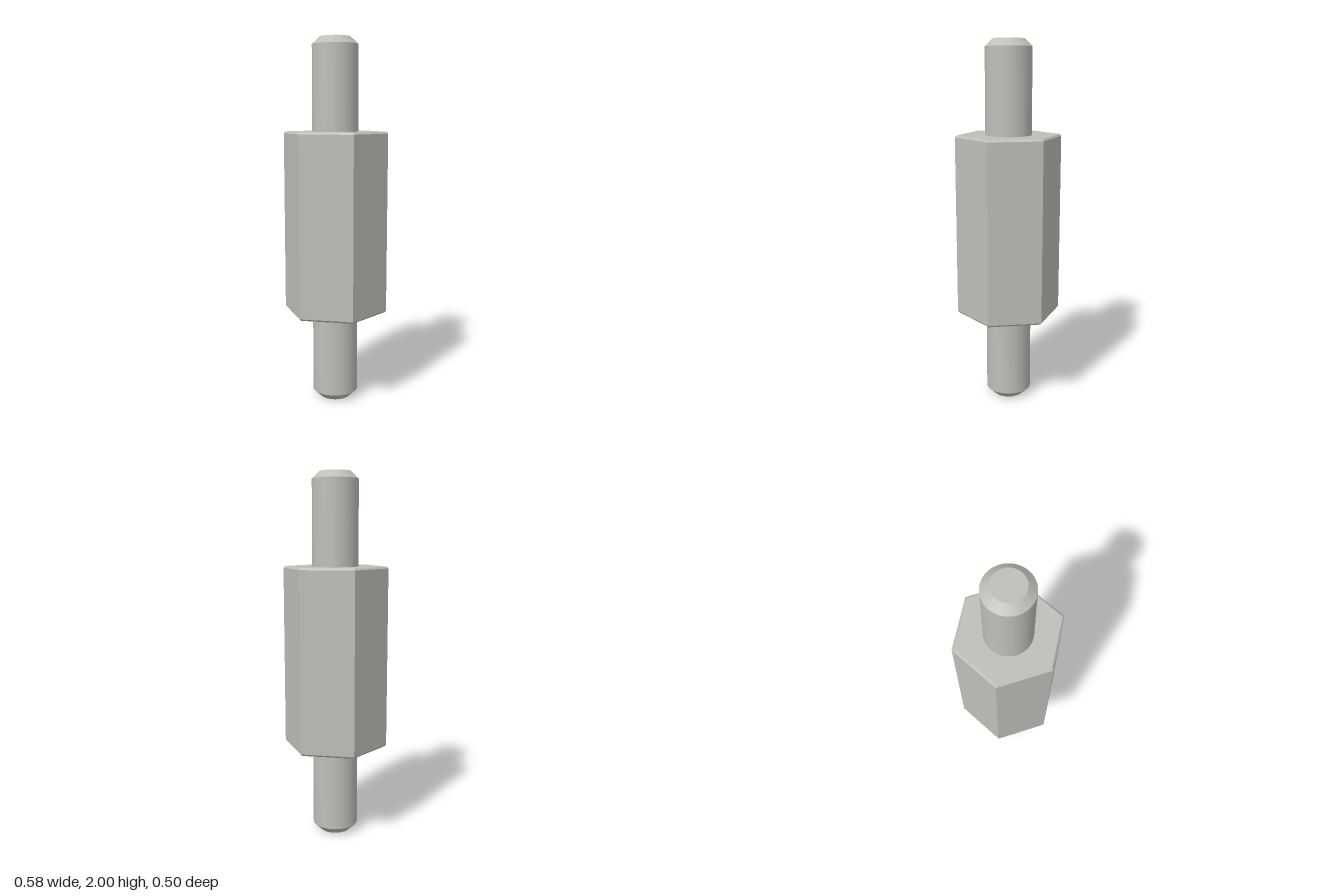
import * as THREE from 'three';
import { toCreasedNormals } from 'three/addons/utils/BufferGeometryUtils.js';

const steel = new THREE.MeshStandardMaterial({ color: 0xc0beb8 });
steel.name = 'steel';

// Turned solid from [radius, height] points, bottom to top
function turned(name, profile, sides) {
  const points = profile.map(([r, y]) => new THREE.Vector2(r, y));
  const geometry = new THREE.LatheGeometry(points, sides, Math.PI / 2);
  const mesh = new THREE.Mesh(toCreasedNormals(geometry, 0.5), steel);
  mesh.name = name;
  return mesh;
}

export function createModel() {
  const group = new THREE.Group();
  group.name = 'hexStandoff';

  // Hexagonal body, 0.5 across the flats, with finely chamfered ends
  const R = 0.25 / Math.cos(Math.PI / 6);
  group.add(turned('hexBody', [
    [0, 0.5], [R - 0.01, 0.5], [R, 0.51], [R, 1.49], [R - 0.01, 1.5], [0, 1.5],
  ], 6));

  // Round studs with chamfered tips
  const stud = [[0, 0], [0.083, 0], [0.125, 0.04], [0.125, 0.52]];
  group.add(turned('lowerStud', stud, 64));
  group.add(turned('upperStud', stud.map(([r, y]) => [r, 2 - y]).reverse(), 64));

  return group;
}
